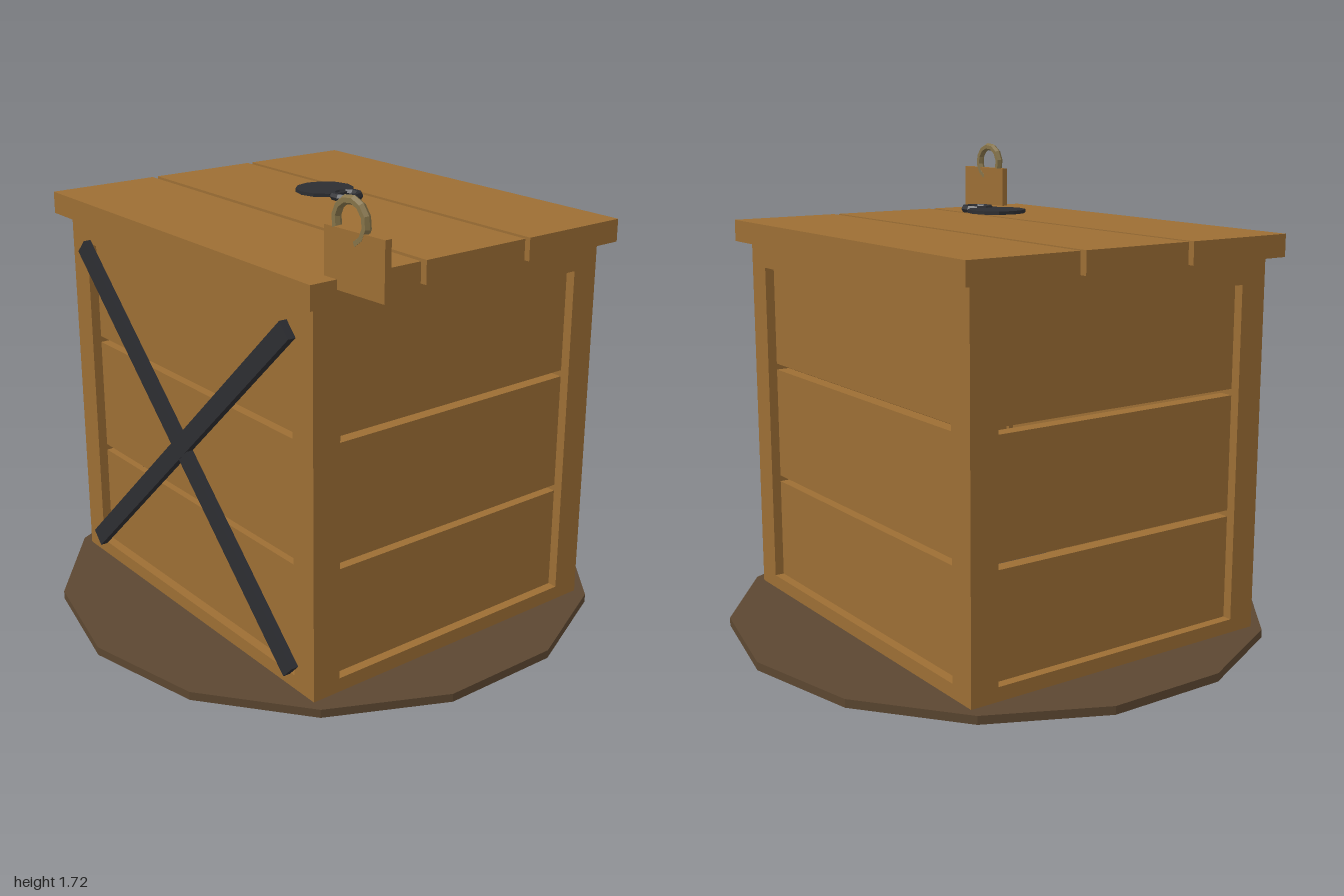
import * as THREE from 'three';

const wood = new THREE.MeshStandardMaterial({ color: 0x9c6e34, flatShading: true });
const iron = new THREE.MeshStandardMaterial({ color: 0x2c2d31, flatShading: true });
const earth = new THREE.MeshStandardMaterial({ color: 0x5c4731, flatShading: true });
const brass = new THREE.MeshStandardMaterial({ color: 0x857349, flatShading: true });

function add(parent, name, geometry, material, x = 0, y = 0, z = 0) {
  const mesh = new THREE.Mesh(geometry, material);
  mesh.name = name;
  mesh.position.set(x, y, z);
  parent.add(mesh);
  return mesh;
}
const box = (w, h, d) => new THREE.BoxGeometry(w, h, d);

export function createModel() {
  const model = new THREE.Group();
  model.name = 'crate';
  const main = new THREE.Group();
  main.name = 'crateAndBase';
  main.position.x = -0.007;
  model.add(main);

  // Ground disc with 14 sides
  add(main, 'baseDisc', new THREE.CylinderGeometry(1, 1, 0.03, 14), earth, 0, 0.015, 0);

  // Corner posts
  const W = 0.735, D = 0.615, post = 0.105, top = 1.38;
  for (const sx of [-1, 1]) for (const sz of [-1, 1]) {
    add(main, 'cornerPost', box(post, top - 0.004, post), wood,
      sx * (W - post / 2), top / 2 + 0.002, sz * (D - post / 2));
  }

  // Rails and recessed planks on all four walls
  const rails = [[0.004, 0.08], [1.29, top]];
  for (const s of [-1, 1]) {
    for (const [y0, y1] of rails) {
      add(main, 'longRail', box(2 * (W - post), y1 - y0, post), wood, 0, (y0 + y1) / 2, s * (D - post / 2));
      add(main, 'sideRail', box(post, y1 - y0, 2 * (D - post)), wood, s * (W - post / 2), (y0 + y1) / 2, 0);
    }
    for (let i = 0; i < 3; i++) {
      const y = 0.248 + i * 0.441;
      add(main, 'longPlank', box(1.3, 0.418, 0.05), wood, 0, y, s * (D - 0.06));
      add(main, 'sidePlank', box(0.05, 0.418, 1.06), wood, s * (W - 0.06), y, 0);
    }
  }

  // Lid planks and the battens under them
  for (const i of [-1, 0, 1]) {
    add(main, 'lidPlank', box(1.565, 0.08, 0.425), wood, 0, 1.42, i * 0.448);
  }
  for (const s of [-1, 1]) {
    add(main, 'lidBatten', box(0.11, 0.05, 1.0), wood, s * 0.47, 1.355, 0);
  }

  // Crossed iron straps on the front
  for (const s of [-1, 1]) {
    const strap = add(main, 'crossStrap', box(1.725, 0.066, 0.028), iron, 0, 0.69, D + 0.014 + (s > 0 ? 0.001 : 0));
    strap.rotation.z = s * 0.755;
  }

  // Small iron stud in the lower front gap
  add(main, 'gapStud', new THREE.CylinderGeometry(0.035, 0.035, 0.014, 8), iron, -0.38, 0.477, 0.535);

  // Iron plate and pull ring above the lid
  add(main, 'lidPlate', new THREE.CylinderGeometry(0.104, 0.104, 0.012, 12), iron, 0, 1.516, 0);
  const ring = add(main, 'pullRing', new THREE.TorusGeometry(0.047, 0.014, 6, 10), iron, 0.122, 1.516, 0);
  ring.rotation.x = Math.PI / 2;

  // Padlock at the front left corner of the lid
  const lock = new THREE.Group();
  lock.name = 'padlock';
  lock.position.set(0.846, 1.522, 0.545);
  lock.rotation.y = 0.06;
  model.add(lock);
  add(lock, 'lockBody', box(0.258, 0.187, 0.025), wood);
  const shackle = add(lock, 'shackle', new THREE.TorusGeometry(0.065, 0.015, 6, 9, Math.PI * 1.5), brass, -0.025, 0.117, 0);
  shackle.rotation.z = -1.2;

  return model;
}
